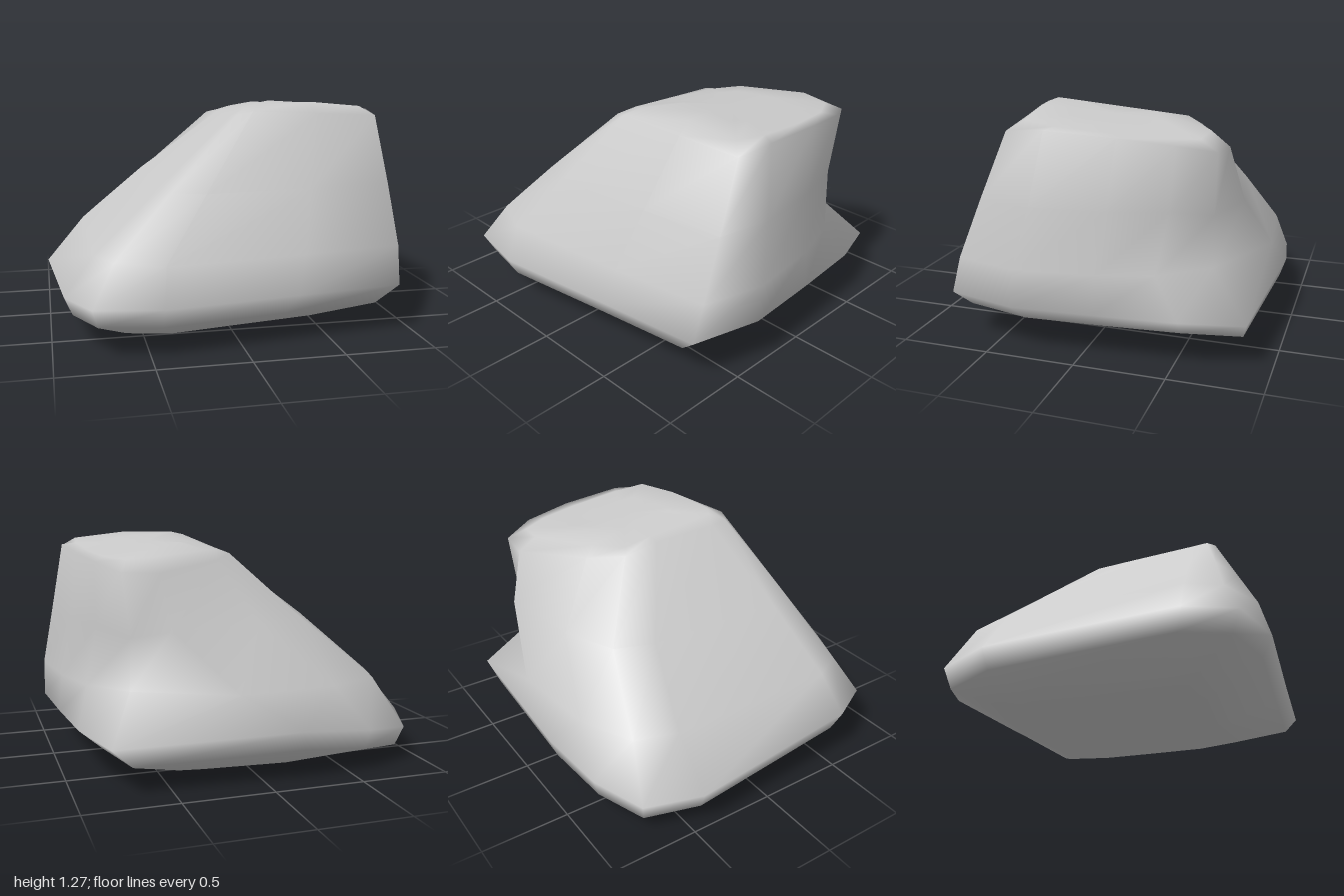
import * as THREE from 'three';

// Outlines run front-left -> front -> right -> back -> left as [x, z] or [x, z, y].
const ring = (y, pts) => pts.map(([x, z, py = y]) => new THREE.Vector3(x, py, z));

// Widest outline, just above the ground
const base = ring(0.28, [
  [-0.93, 0.61], [-0.8, 0.86], [-0.44, 0.925], [0.3, 0.82], [0.9, 0.74], [1, 0.35],
  [0.97, -0.1], [0.93, -0.54], [0.82, -0.87, 0.26], [-0.19, -0.93], [-0.6, -0.88, 0.24],
  [-0.88, -0.75, 0.2], [-1, -0.44, 0.22],
]);

// Start of the long left slope
const shoulder = ring(0.49, [
  [-0.77, 0.57], [-0.68, 0.75], [-0.42, 0.86], [0.35, 0.77], [0.91, 0.68], [1, 0.33],
  [0.95, -0.1], [0.86, -0.4], [0.68, -0.66, 0.5], [0.15, -0.885], [-0.4, -0.83],
  [-0.7, -0.69], [-0.77, -0.45],
]);

// Middle of the slope; the back right corner is hollowed inwards
const waist = ring(0.82, [
  [-0.4, 0.48], [-0.36, 0.62], [-0.18, 0.69], [0.42, 0.62], [0.89, 0.55], [0.95, 0.25],
  [0.9, -0.15], [0.81, -0.46], [0.67, -0.66, 0.78], [0.48, -0.78], [-0.02, -0.7],
  [-0.32, -0.57], [-0.4, -0.35],
]);

// Edge of the sloping top, bevelled at the back left
const rim = ring(1.19, [
  [0.03, 0.34, 1.2], [0.04, 0.45, 1.21], [0.12, 0.48, 1.23], [0.5, 0.44, 1.21], [0.86, 0.4], [0.89, 0.18, 1.21],
  [0.87, -0.2], [0.82, -0.49, 1.16], [0.72, -0.68, 1.12], [0.52, -0.7, 1.11], [0.14, -0.46, 1.15],
  [0.01, -0.28, 1.17], [0.03, -0.06, 1.19],
]);

// Underside outlines are shrunken copies of the base
const under = (height, sx, sz, dx, dz) =>
  base.map((p) => new THREE.Vector3(p.x * sx + dx, height(p.y), p.z * sz + dz));

// Top outlines close in on a gently tilted crown
const crown = (t) => rim.map((p) => {
  const x = THREE.MathUtils.lerp(p.x, 0.42, t);
  const z = THREE.MathUtils.lerp(p.z, -0.05, t);
  const y = 1.255 + 0.085 * z - Math.max(0.2 * (0.3 - x), 0.09 * (x - 0.3));
  return new THREE.Vector3(x, y, z);
});

// Skin stacked outlines and close both ends with fans
function loft(rings) {
  const n = rings[0].length;
  const points = rings.flat();
  const index = [];
  for (let r = 0; r < rings.length - 1; r++) {
    for (let i = 0; i < n; i++) {
      const a = r * n + i, b = r * n + (i + 1) % n;
      index.push(a, b, b + n, a, b + n, a + n);
    }
  }
  const centre = (pts) => pts.reduce((s, p) => s.add(p), new THREE.Vector3()).divideScalar(n);
  const last = (rings.length - 1) * n;
  const bottom = points.length, top = bottom + 1;
  points.push(centre(rings[0]), centre(rings[rings.length - 1]));
  for (let i = 0; i < n; i++) {
    const j = (i + 1) % n;
    index.push(bottom, j, i, top, last + i, last + j);
  }
  const geometry = new THREE.BufferGeometry().setFromPoints(points);
  geometry.setIndex(index);
  geometry.computeVertexNormals();
  return geometry;
}

export function createModel() {
  const group = new THREE.Group();
  group.name = 'boulder';
  const rock = new THREE.Mesh(
    loft([
      under(() => 0, 0.47, 0.58, -0.14, -0.04),
      under(() => 0.045, 0.63, 0.7, -0.1, -0.04),
      under((y) => y - 0.11, 0.91, 0.95, -0.04, -0.01),
      base, shoulder, waist, rim,
      crown(0.16), crown(0.55),
    ]),
    new THREE.MeshStandardMaterial({ color: 0xcccccc }),
  );
  rock.name = 'rock';
  group.add(rock);
  return group;
}
